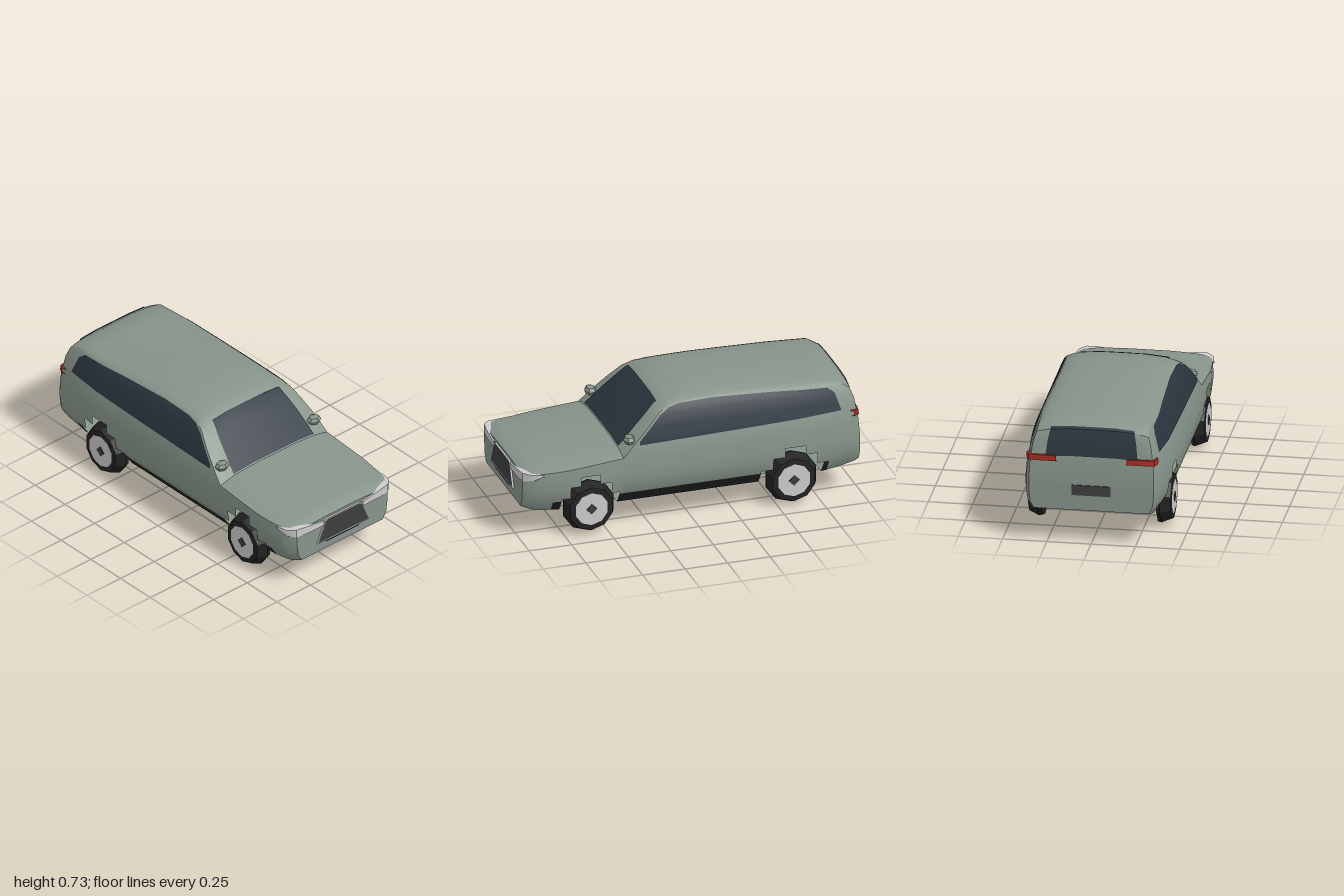
import * as THREE from 'three';
import { toCreasedNormals } from 'three/addons/utils/BufferGeometryUtils.js';

const paint = (color) => new THREE.MeshStandardMaterial({ color, side: THREE.DoubleSide });
const PAINT = paint(0x87948a), GLASS = paint(0x2b353f), BLACK = paint(0x222222);
const DARK = paint(0x3c3e40), GREY = paint(0xcccccc), RED = paint(0xa02c22);

// Piecewise linear lookup in a list of [key, value] pairs
function lookup(table, k) {
  if (k <= table[0][0]) return table[0][1];
  for (let i = 1; i < table.length; i++) {
    const [a, va] = table[i - 1], [b, vb] = table[i];
    if (k <= b) return va + (vb - va) * (k - a) / (b - a);
  }
  return table[table.length - 1][1];
}

// Body rules: centre-line top, underside, plan taper, half width by height, crown
const TOP = [[-0.995, 0.36], [-0.985, 0.48], [-0.965, 0.6], [-0.945, 0.66], [-0.89, 0.7], [-0.5, 0.717],
  [-0.2, 0.732], [0, 0.728], [0.12, 0.715], [0.18, 0.685], [0.3, 0.575], [0.41, 0.468], [0.6, 0.452],
  [0.8, 0.436], [0.94, 0.42], [0.985, 0.4]];
const BOTTOM = [[-0.995, 0.195], [-0.8, 0.155], [-0.73, 0.145], [0.77, 0.145], [0.9, 0.16], [0.985, 0.185]];
const PLAN = [[-0.995, 0.87], [-0.965, 0.92], [-0.89, 0.955], [-0.66, 1], [0.72, 1], [0.86, 0.965], [0.94, 0.92], [0.985, 0.83]];
const WIDTH = [[0.14, 0.335], [0.23, 0.395], [0.3, 0.405], [0.355, 0.405], [0.42, 0.4], [0.47, 0.392],
  [0.52, 0.38], [0.6, 0.355], [0.66, 0.328], [0.69, 0.305], [0.71, 0.28]];
const CROWN = [[-0.995, 0.02], [-0.89, 0.035], [0.8, 0.035], [0.985, 0.018]];
const FRACTIONS = [0.9, 0.75, 0.4, 0];

const sideZ = (x, y) => lookup(WIDTH, y) * lookup(PLAN, x);
const edgeY = (x) => lookup(TOP, x) - lookup(CROWN, x);
// Point on the upper surface at a fraction of its half width
function topPoint(x, f) {
  const y = edgeY(x);
  return [x, y + lookup(CROWN, x) * (1 - Math.abs(f) ** 4), sideZ(x, y) * f];
}

// Surface through rows of points; skip(i, j) leaves a cell open
function surface(rows, skip = () => false) {
  const n = rows[0].length, index = [];
  for (let i = 0; i < rows.length - 1; i++) for (let j = 0; j < n - 1; j++) {
    if (skip(i, j)) continue;
    const a = i * n + j, d = a + n;
    index.push(a, d, d + 1, a, d + 1, a + 1);
  }
  const g = new THREE.BufferGeometry();
  g.setAttribute('position', new THREE.Float32BufferAttribute(rows.flat(2), 3));
  g.setIndex(index);
  return toCreasedNormals(g, 0.6);
}

function range(a, b, n) {
  return Array.from({ length: n + 1 }, (_, i) => a + (b - a) * i / n);
}

export function createModel() {
  const model = new THREE.Group();
  const add = (name, geometry, material, parent = model) => {
    const m = new THREE.Mesh(geometry, material);
    m.name = name;
    parent.add(m);
    return m;
  };

  // Body shell with stepped wheel openings
  const xs = [-0.995, -0.985, -0.965, -0.945, -0.89, -0.77, -0.73, -0.66, -0.54, -0.47, -0.4, -0.2, 0, 0.12,
    0.18, 0.24, 0.3, 0.355, 0.41, 0.43, 0.48, 0.55, 0.66, 0.72, 0.77, 0.8, 0.86, 0.9, 0.94, 0.985];
  const section = (x) => {
    const b = lookup(BOTTOM, x), e = edgeY(x);
    const half = [[x, b, 0], [x, b, 0.25 * lookup(PLAN, x)], [x, b, sideZ(x, b)]];
    for (const [level] of WIDTH.slice(1)) {
      const y = Math.min(level, e);
      half.push([x, y, sideZ(x, y)]);
    }
    half.push([x, e, sideZ(x, e)], ...FRACTIONS.map((f) => topPoint(x, f)));
    return [...half, ...half.slice(0, -1).reverse().map(([px, y, z]) => [px, y, -z])];
  };
  const rings = xs.map(section);
  const flat = (ring) => ring.map(([x, y]) => [x, y, 0]);
  const rows = [flat(rings[0]), ...rings, flat(rings[rings.length - 1])];
  const openings = {
    1: [[-0.77, -0.4], [0.43, 0.77]],
    2: [[-0.77, -0.4], [0.43, 0.77]],
    3: [[-0.73, -0.47], [0.48, 0.72]],
    4: [[-0.66, -0.54], [0.55, 0.66]],
  };
  const n = rows[0].length;
  add('body', surface(rows, (i, j) => {
    const mid = (rows[i][0][0] + rows[i + 1][0][0]) / 2;
    return (openings[Math.min(j, n - 2 - j)] || []).some(([a, b]) => mid > a && mid < b);
  }), PAINT);

  // Windscreen and rear window follow the upper surface
  const columns = [-0.75, -0.4, 0, 0.4, 0.75];
  const topGlass = (name, stations, dx, dy) => add(name, surface(stations.map((x) => columns.map((f) => {
    const [px, y, z] = topPoint(x, f);
    return [px + dx, y + dy, z];
  }))), GLASS);
  topGlass('windscreen', [0.165, 0.18, 0.24, 0.3, 0.355, 0.405], 0.004, 0.005);
  topGlass('rearWindow', [-0.98, -0.965, -0.945, -0.93], -0.005, 0.002);

  // Panels following the flanks, with lower and upper edges given along x
  const sidePanel = (name, stations, low, high, material, lift = 0.004) => {
    for (const s of [1, -1]) {
      add(name, surface(stations.map((x) => range(0, 1, 8).map((t) => {
        const y = low(x) + (high(x) - low(x)) * t;
        return [x, y, s * (sideZ(x, y) + lift)];
      }))), material);
    }
  };
  const glassLow = [[-0.88, 0.525], [-0.4, 0.51], [0.31, 0.495]];
  const glassHigh = [[-0.88, 0.53], [-0.85, 0.625], [-0.81, 0.655], [-0.5, 0.675], [-0.15, 0.69],
    [0.05, 0.686], [0.12, 0.673], [0.18, 0.638], [0.31, 0.515]];
  sidePanel('sideWindow', [-0.88, -0.85, -0.81, -0.66, -0.5, -0.3, -0.15, 0.05, 0.12, 0.18, 0.24, 0.31],
    (x) => lookup(glassLow, x), (x) => lookup(glassHigh, x), GLASS);
  sidePanel('sill', [-0.4, 0, 0.43], () => 0.147, () => 0.215, BLACK);
  sidePanel('rearArchTrim', [-0.8, -0.77], () => 0.157, () => 0.235, BLACK);
  sidePanel('frontArchTrim', [0.77, 0.82], () => 0.152, () => 0.215, BLACK);

  // Wheels: tapered tyre, rim disc and square hub
  const tyre = [[0.09, 0.325], [0.15, 0.325], [0.155, 0.345], [0.13, 0.402], [0.09, 0.406]];
  for (const [x, place] of [[-0.59, 'rear'], [0.6, 'front']]) for (const s of [1, -1]) {
    const wheel = new THREE.Group();
    wheel.name = place + 'Wheel';
    const lathe = new THREE.LatheGeometry(tyre.map(([r, z]) => new THREE.Vector2(r, z)), 10);
    add('tyre', toCreasedNormals(lathe, 0.3), BLACK, wheel);
    add('rim', new THREE.CylinderGeometry(0.098, 0.098, 0.05, 10), GREY, wheel).position.y = 0.381;
    add('innerDisc', new THREE.CylinderGeometry(0.092, 0.092, 0.02, 10), BLACK, wheel).position.y = 0.337;
    add('hub', new THREE.CylinderGeometry(0.03, 0.034, 0.01, 4), DARK, wheel).position.y = 0.405;
    wheel.rotation.x = s * Math.PI / 2;
    wheel.position.set(x, 0.153, 0);
    model.add(wheel);
  }

  // Grille: trapezoid in a thin bright frame
  const trapezoid = (inset) => new THREE.Shape([[-0.19, 0.245], [0.19, 0.245], [0.18, 0.265], [0.135, 0.378],
    [0.122, 0.387], [-0.122, 0.387], [-0.135, 0.378], [-0.18, 0.265]].map(([z, y]) =>
    new THREE.Vector2(z * (1 - inset * 5), 0.316 + (y - 0.316) * (1 - inset * 13))));
  const plate = (name, shape, x, depth, material) => {
    const m = add(name, new THREE.ExtrudeGeometry(shape, { depth, bevelEnabled: false }), material);
    m.rotation.y = Math.PI / 2;
    m.position.x = x;
  };
  const frame = trapezoid(0);
  frame.holes.push(trapezoid(0.006));
  plate('grilleFrame', frame, 0.98, 0.016, GREY);
  plate('grille', trapezoid(0.006), 0.98, 0.013, DARK);
  add('lowerIntake', new THREE.BoxGeometry(0.012, 0.01, 0.24), BLACK).position.set(0.986, 0.237, 0);
  add('numberPlate', new THREE.BoxGeometry(0.012, 0.06, 0.22), DARK).position.set(-0.994, 0.315, 0);

  for (const s of [1, -1]) {
    // Headlights wrap round the front corners
    const lamp = [[0.995, 0.145, 0.352, 0.382], [0.993, 0.28, 0.352, 0.4], [0.985, 0.342, 0.354, 0.403],
      [0.945, 0.379, 0.36, 0.4], [0.88, 0.393, 0.385, 0.396]];
    add('headlight', surface(lamp.map(([x, z, y0, y1]) =>
      [[x - 0.03, y0, s * (z - 0.01)], [x, y0, s * z], [x, y1, s * z], [x - 0.04, y1, s * (z - 0.02)]])), GREY);
    // Slim tail lamps at the rear corners
    const tail = [[-0.992, 0.2], [-0.99, 0.31], [-0.983, 0.355], [-0.95, 0.372]];
    add('tailLight', surface(tail.map(([x, z]) =>
      [[x + 0.02, 0.478, s * (z - 0.01)], [x - 0.005, 0.48, s * z], [x, 0.51, s * z], [x + 0.02, 0.512, s * (z - 0.01)]])), RED);
    // Faceted door mirrors
    const mirror = add('mirror', toCreasedNormals(new THREE.SphereGeometry(1, 6, 4), 0.3), PAINT);
    mirror.scale.set(0.035, 0.028, 0.046);
    mirror.position.set(0.36, 0.518, s * 0.342);
  }
  return model;
}
